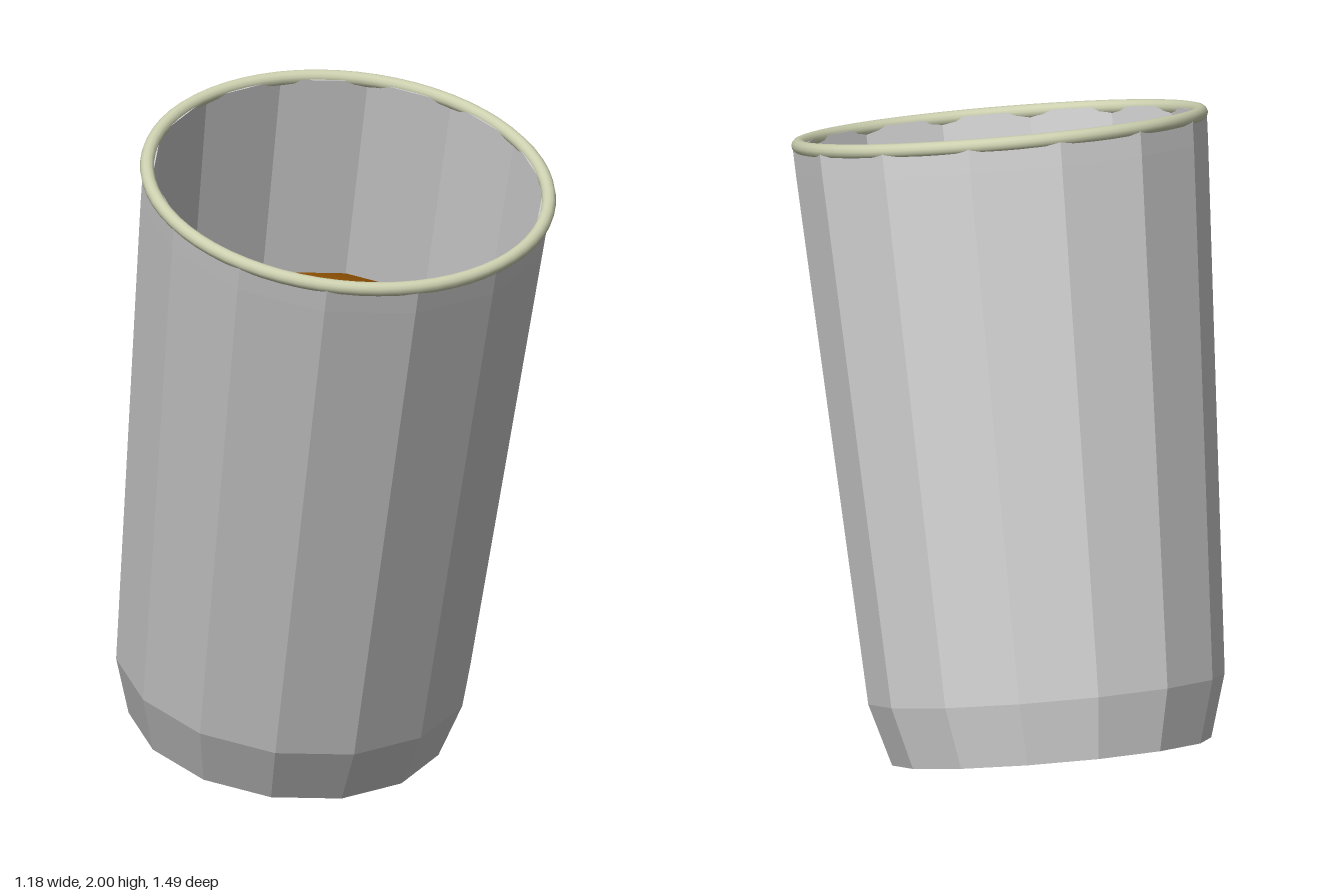
import * as THREE from 'three';

const SIDES = 14;
const TILT = 0.279;

const glassMat = new THREE.MeshStandardMaterial({ color: 0xcccccc });
glassMat.name = 'pale grey';
const rimMat = new THREE.MeshStandardMaterial({ color: 0xcdd1b0 });
rimMat.name = 'cream';
const drinkMat = new THREE.MeshStandardMaterial({ color: 0xd67d0a });
drinkMat.name = 'orange';

// Faceted turned shape from [radius, height] pairs
function lathe(profile) {
  return new THREE.LatheGeometry(profile.map(([r, h]) => new THREE.Vector2(r, h)), SIDES);
}

function addPart(group, name, geometry, material) {
  const mesh = new THREE.Mesh(geometry, material);
  mesh.name = name;
  group.add(mesh);
  return mesh;
}

export function createModel() {
  const model = new THREE.Group();
  model.name = 'tiltedTumbler';

  // Everything is built upright, then leaned towards the front
  const tumbler = new THREE.Group();
  tumbler.name = 'tumbler';
  tumbler.rotation.x = TILT;
  tumbler.position.set(0, 0.125, -0.31);
  model.add(tumbler);

  // Cup: flat base, chamfered foot, flaring wall, hollow inside
  const cup = lathe([
    [0, 0], [0.453, 0], [0.506, 0.178], [0.585, 1.69], [0.588, 1.77],
    [0.56, 1.77], [0.487, 0.19], [0.44, 0.04], [0, 0.04],
  ]).toNonIndexed();
  cup.computeVertexNormals();
  addPart(tumbler, 'cup', cup, glassMat);

  // Rounded lip
  const rim = new THREE.TorusGeometry(0.57, 0.02, 12, 64);
  rim.rotateX(Math.PI / 2);
  addPart(tumbler, 'rim', rim, rimMat).position.y = 1.768;

  // Drink: smooth normals give the surface a soft swell
  addPart(tumbler, 'drink', lathe([
    [0, 0.05], [0.435, 0.05], [0.482, 0.19], [0.531, 1.15], [0, 1.15],
  ]), drinkMat);

  return model;
}
